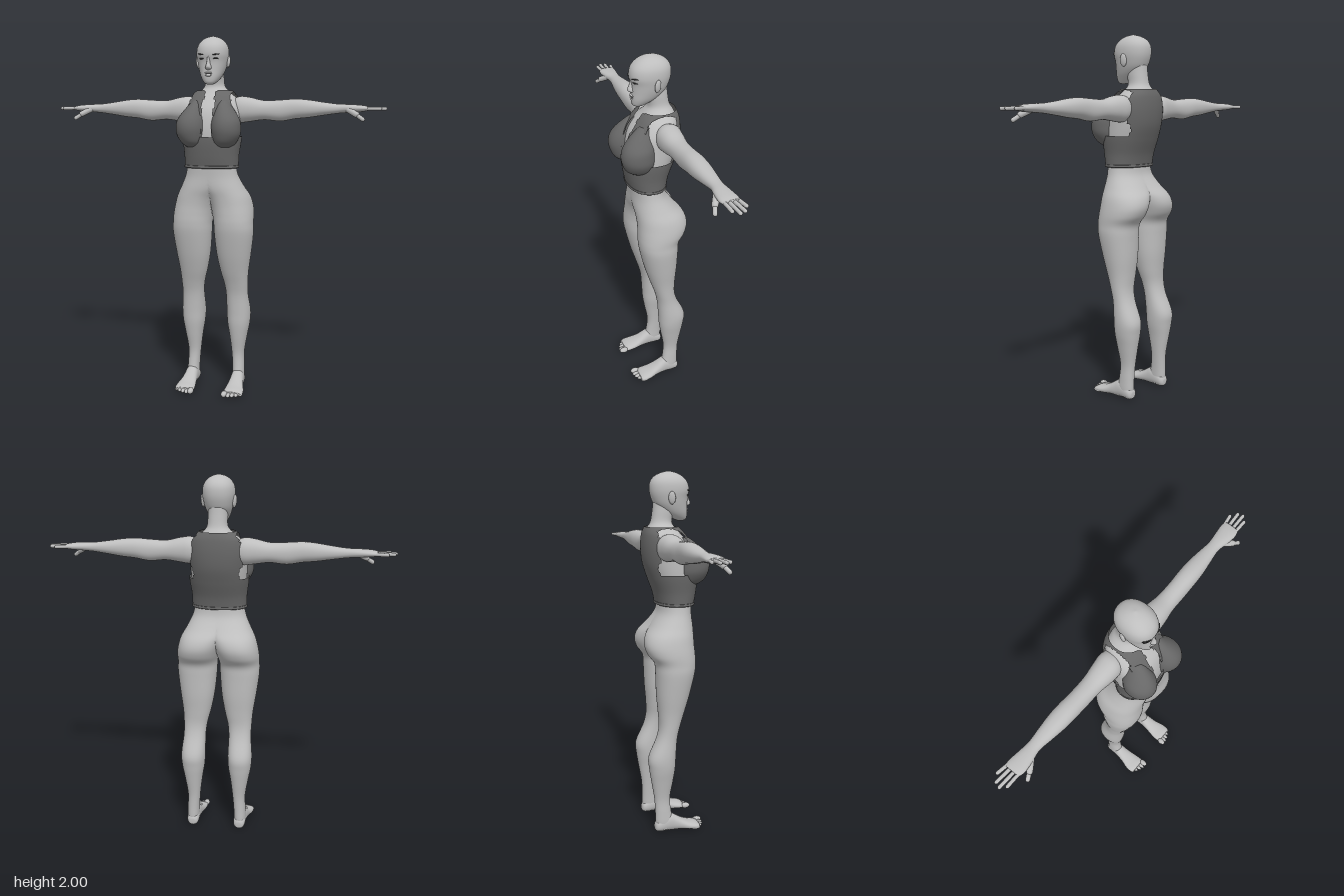
import * as THREE from 'three';

const skin = new THREE.MeshStandardMaterial({ color: 0xbebebe });
skin.name = 'skin grey';
const cloth = new THREE.MeshStandardMaterial({ color: 0x676767, side: THREE.DoubleSide });
cloth.name = 'vest grey';
const dark = new THREE.MeshStandardMaterial({ color: 0x3c3c3c });
dark.name = 'brow grey';

// Smooth interpolation through rows of numbers
function smoothRows(rows, steps) {
  const out = [], at = i => rows[Math.min(rows.length - 1, Math.max(0, i))];
  for (let i = 0; i < rows.length - 1; i++) {
    for (let s = 0; s < steps; s++) {
      const t = s / steps, [a, b, c, d] = [at(i - 1), at(i), at(i + 1), at(i + 2)];
      out.push(b.map((_, k) => 0.5 * (2 * b[k] + (c[k] - a[k]) * t
        + (2 * a[k] - 5 * b[k] + 4 * c[k] - d[k]) * t * t
        + (3 * b[k] - a[k] - 3 * c[k] + d[k]) * t * t * t)));
    }
  }
  out.push(rows[rows.length - 1]);
  return out;
}

// Closed loft; row = [t rising, u centre, u half width, v low, v high], order names the axes of t, u, v
function loft(rows, order, { steps = 5, sides = 40, power = 2.2, keep = null, half = false } = {}) {
  const rings = smoothRows(rows, steps), pos = [], idx = [];
  const put = (t, u, v) => {
    const p = { [order[0]]: t, [order[1]]: u, [order[2]]: v };
    pos.push(half ? Math.max(0, p.x) : p.x, p.y, p.z);
  };
  const round = c => Math.sign(c) * Math.abs(c) ** (2 / power);
  for (const [t, u, h, lo, hi] of rings) {
    for (let j = 0; j < sides; j++) {
      const a = j / sides * Math.PI * 2;
      put(t, u + h * round(Math.cos(a)), (lo + hi) / 2 + (hi - lo) / 2 * round(Math.sin(a)));
    }
  }
  const flip = order !== 'zxy';
  const tri = (a, b, c) => flip ? idx.push(a, c, b) : idx.push(a, b, c);
  for (let i = 0; i < rings.length - 1; i++) {
    for (let j = 0; j < sides; j++) {
      const a = i * sides + j, b = i * sides + (j + 1) % sides, c = a + sides, d = b + sides;
      const mid = k => (pos[a * 3 + k] + pos[d * 3 + k]) / 2;
      if (keep && !keep(mid(0), mid(1), mid(2))) continue;
      tri(a, b, d);
      tri(a, d, c);
    }
  }
  if (!keep) {
    const n = pos.length / 3, last = (rings.length - 1) * sides;
    for (const r of [rings[0], rings[rings.length - 1]]) put(r[0], r[1], (r[3] + r[4]) / 2);
    for (let j = 0; j < sides; j++) {
      const k = (j + 1) % sides;
      tri(n, k, j);
      tri(n + 1, last + j, last + k);
    }
  }
  const g = new THREE.BufferGeometry();
  g.setAttribute('position', new THREE.Float32BufferAttribute(pos, 3));
  g.setIndex(idx);
  g.computeVertexNormals();
  return g;
}

// Turn normals on the middle plane straight ahead, so mirrored halves shade as one
function softenSeam(g) {
  const p = g.attributes.position, n = g.attributes.normal;
  for (let i = 0; i < p.count; i++) {
    const l = Math.hypot(n.getY(i), n.getZ(i));
    if (p.getX(i) === 0 && l > 0.02) n.setXYZ(i, 0, n.getY(i) / l, n.getZ(i) / l);
  }
  return g;
}

const ball = (x, y, z, rx, ry, rz, turn = 0, tilt = 0) => new THREE.SphereGeometry(1, 32, 22)
  .scale(rx, ry, rz).rotateZ(tilt).rotateY(turn).translate(x, y, z);

// Rounded rod between two points
function rod(p, q, r) {
  const a = new THREE.Vector3(...p), b = new THREE.Vector3(...q), d = b.clone().sub(a);
  const turn = new THREE.Quaternion().setFromUnitVectors(new THREE.Vector3(0, 1, 0), d.clone().normalize());
  const mid = a.add(b).multiplyScalar(0.5);
  return new THREE.CapsuleGeometry(r, d.length(), 6, 12).applyQuaternion(turn).translate(mid.x, mid.y, mid.z);
}

// Reflected copy with corrected winding and normals
function reflect(geo) {
  const g = geo.clone(), ix = g.index.array;
  for (const a of [g.attributes.position, g.attributes.normal]) {
    for (let i = 0; i < a.count; i++) a.setX(i, -a.getX(i));
  }
  for (let i = 0; i < ix.length; i += 3) [ix[i], ix[i + 1]] = [ix[i + 1], ix[i]];
  return g;
}

export function createModel() {
  const model = new THREE.Group();
  model.name = 'figure';
  const add = (name, geo, mat = skin) => {
    const m = new THREE.Mesh(geo, mat);
    m.name = name;
    model.add(m);
  };
  const pair = (name, geo, mat = skin) => {
    add('left ' + name, geo, mat);
    add('right ' + name, reflect(geo), mat);
  };

  // Chest and neck
  const torso = [
    [1.30, 0, 0.138, -0.076, 0.103], [1.36, 0, 0.14, -0.09, 0.115], [1.44, 0, 0.15, -0.12, 0.125],
    [1.52, 0, 0.153, -0.145, 0.122], [1.60, 0, 0.152, -0.153, 0.1], [1.66, 0, 0.13, -0.148, 0.055],
    [1.70, 0, 0.085, -0.135, 0.02], [1.735, 0, 0.056, -0.115, 0.0], [1.79, 0, 0.052, -0.105, 0.012],
    [1.84, 0, 0.05, -0.1, 0.02]];
  add('torso', loft(torso, 'yxz', { sides: 64 }));

  // Vest: offset shell with arm holes and an open front
  const shell = torso.slice(0, 7).map(([y, u, w, b, f]) =>
    [y + (y > 1.6 ? 0.01 : 0), u, w + 0.012, b - 0.012, f + 0.014]);
  const inVest = (x, y, z) => {
    const ax = Math.abs(x), notch = 0.005 * Math.sign(Math.sin(y * 70));
    if (y < 1.46) return true;
    if (z < -0.105 + notch) return true;
    return ax > 0.032 + notch && ax < 0.112 + notch;
  };
  add('vest', loft(shell, 'yxz', { steps: 12, sides: 128, keep: inVest }), cloth);
  add('vest hem', loft([[1.288, 0, 0.147, -0.085, 0.113], [1.292, 0, 0.153, -0.091, 0.12],
    [1.304, 0, 0.151, -0.09, 0.119]], 'yxz', { sides: 64 }), cloth);
  pair('vest cup', loft([
    [1.405, 0.085, 0.04, 0.01, 0.122], [1.43, 0.09, 0.062, 0.005, 0.156], [1.47, 0.097, 0.077, 0, 0.175],
    [1.51, 0.098, 0.08, 0, 0.181], [1.55, 0.097, 0.075, 0, 0.172], [1.59, 0.09, 0.058, 0, 0.146],
    [1.63, 0.08, 0.038, 0, 0.105], [1.655, 0.075, 0.025, 0, 0.07]], 'yxz', { power: 2 }), cloth);

  // Legs rising through hip and buttock to the waist, each one half of the lower body
  pair('leg and hip', softenSeam(loft([
    [0.015, 0.137, 0.03, -0.134, -0.04], [0.06, 0.137, 0.034, -0.138, -0.035], [0.12, 0.135, 0.034, -0.138, -0.047],
    [0.20, 0.131, 0.036, -0.142, -0.053], [0.30, 0.133, 0.05, -0.158, -0.036], [0.38, 0.134, 0.064, -0.17, -0.024],
    [0.45, 0.134, 0.068, -0.172, -0.02], [0.55, 0.13, 0.063, -0.127, -0.012], [0.62, 0.127, 0.067, -0.11, 0.004],
    [0.70, 0.12, 0.08, -0.112, 0.03], [0.80, 0.118, 0.097, -0.12, 0.06], [0.92, 0.12, 0.11, -0.124, 0.088],
    [0.98, 0.118, 0.111, -0.13, 0.095], [1.03, 0.112, 0.116, -0.165, 0.094], [1.08, 0.1, 0.12, -0.18, 0.092],
    [1.13, 0.08, 0.125, -0.167, 0.094], [1.18, 0.045, 0.133, -0.126, 0.099], [1.24, 0.01, 0.14, -0.086, 0.1],
    [1.29, 0, 0.138, -0.076, 0.103], [1.32, 0, 0.136, -0.078, 0.104]],
  'yxz', { sides: 64, half: true })));

  // Feet and toes
  pair('foot', loft([
    [-0.142, 0.136, 0.015, 0.015, 0.045], [-0.125, 0.136, 0.032, 0.002, 0.07], [-0.06, 0.137, 0.036, 0, 0.105],
    [-0.025, 0.138, 0.039, 0.001, 0.09], [0.01, 0.139, 0.044, 0.002, 0.068], [0.05, 0.142, 0.053, 0, 0.05],
    [0.09, 0.142, 0.056, 0, 0.04], [0.112, 0.14, 0.05, 0.006, 0.03]], 'zxy'));
  for (let i = 0; i < 5; i++) {
    const r = i ? 0.0115 : 0.017;
    pair('toe ' + (i + 1), ball(i ? 0.1 + i * 0.0215 : 0.098, r + 0.003, 0.123 - i * i * 0.0022, r, r, 0.027));
  }

  // Arms through to the palm
  pair('arm', loft([
    [0.08, -0.06, 0.045, 1.56, 1.65], [0.14, -0.057, 0.066, 1.535, 1.677], [0.20, -0.055, 0.063, 1.54, 1.672],
    [0.28, -0.056, 0.052, 1.55, 1.655], [0.37, -0.057, 0.05, 1.543, 1.658], [0.45, -0.058, 0.051, 1.556, 1.663],
    [0.52, -0.06, 0.05, 1.563, 1.658], [0.60, -0.062, 0.042, 1.575, 1.646], [0.68, -0.063, 0.033, 1.586, 1.636],
    [0.74, -0.06, 0.041, 1.59, 1.634], [0.80, -0.06, 0.048, 1.594, 1.63], [0.835, -0.063, 0.043, 1.6, 1.624]],
  'xzy'));

  // Fingers: root z, tip x, tip z
  [[-0.095, 0.882, -0.107], [-0.074, 0.917, -0.082], [-0.051, 0.926, -0.055], [-0.029, 0.9, -0.029]]
    .forEach(([z0, x1, z1], i) =>
      pair('finger ' + (i + 1), rod([0.81, 1.612, z0], [x1, 1.611, z1], 0.0095)));
  pair('thumb base', rod([0.735, 1.605, -0.035], [0.78, 1.58, -0.008], 0.016));
  pair('thumb', rod([0.775, 1.582, -0.01], [0.813, 1.556, 0.006], 0.0115));

  // Head
  add('head', loft([
    [1.74, 0, 0.014, 0.035, 0.068], [1.75, 0, 0.032, 0.01, 0.083], [1.78, 0, 0.054, -0.045, 0.088],
    [1.82, 0, 0.07, -0.09, 0.087], [1.86, 0, 0.08, -0.11, 0.088], [1.90, 0, 0.086, -0.119, 0.096],
    [1.94, 0, 0.082, -0.116, 0.088], [1.97, 0, 0.065, -0.096, 0.063], [1.99, 0, 0.038, -0.06, 0.028],
    [2.0, 0, 0.004, -0.02, -0.012]], 'yxz', { sides: 56 }));
  add('nose', loft([[1.816, 0, 0.009, 0.06, 0.09], [1.824, 0, 0.017, 0.06, 0.104], [1.835, 0, 0.015, 0.06, 0.108],
    [1.855, 0, 0.01, 0.06, 0.1], [1.89, 0, 0.008, 0.06, 0.094]], 'yxz', { sides: 20 }));
  add('upper lip', ball(0, 1.8, 0.085, 0.021, 0.006, 0.009));
  add('lower lip', ball(0, 1.788, 0.084, 0.018, 0.007, 0.01));
  add('mouth line', ball(0, 1.7945, 0.088, 0.02, 0.0015, 0.0045), dark);
  pair('ear', ball(0.085, 1.862, -0.022, 0.01, 0.034, 0.019, 0.35, -0.1));
  pair('eye', ball(0.04, 1.876, 0.08, 0.016, 0.0042, 0.0045, 0.54), dark);
  pair('eyebrow', ball(0.043, 1.898, 0.084, 0.023, 0.0032, 0.0045, 0.54, 0.14), dark);
  return model;
}
